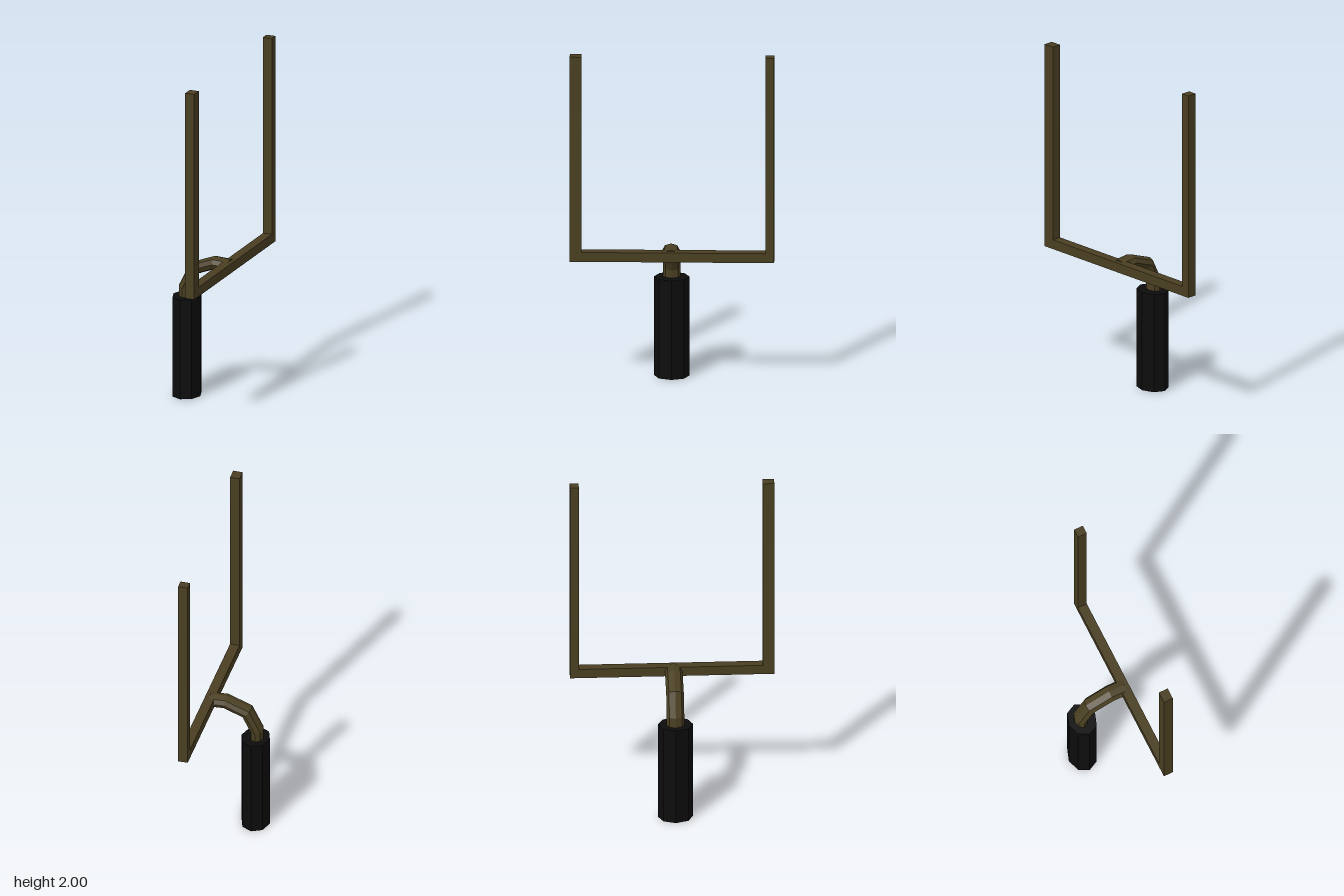
import * as THREE from 'three';

const paint = new THREE.MeshStandardMaterial({ color: 0x4a3f22, flatShading: true });
paint.name = 'dark gold paint';
const padding = new THREE.MeshStandardMaterial({ color: 0x0c0c0c, flatShading: true });
padding.name = 'black padding';

// Box given by its minimum and maximum corners
function bar(name, [x0, y0, z0], [x1, y1, z1]) {
  const geo = new THREE.BoxGeometry(x1 - x0, y1 - y0, z1 - z0);
  geo.translate((x0 + x1) / 2, (y0 + y1) / 2, (z0 + z1) / 2);
  const mesh = new THREE.Mesh(geo, paint);
  mesh.name = name;
  return mesh;
}

// Eight-sided oval pipe with mitred bends, following a path in the xy plane
function pipeGeometry(path, halfHeight, halfWidth, z, sides = 8) {
  const pts = path.map(([x, y]) => new THREE.Vector2(x, y));
  const last = pts.length - 1;
  const dir = (i) => pts[i + 1].clone().sub(pts[i]).normalize();
  const positions = [];
  const index = [];
  pts.forEach((p, i) => {
    const before = dir(Math.max(i - 1, 0));
    const after = dir(Math.min(i, last - 1));
    const t = before.clone().add(after).normalize();
    const h = halfHeight / t.dot(after);
    for (let j = 0; j < sides; j++) {
      const a = (j / sides) * Math.PI * 2;
      const c = Math.cos(a) * h;
      positions.push(p.x - t.y * c, p.y + t.x * c, z + Math.sin(a) * halfWidth);
    }
  });
  for (let i = 0; i < last; i++) {
    for (let j = 0; j < sides; j++) {
      const a = i * sides + j;
      const b = i * sides + ((j + 1) % sides);
      index.push(a, b, b + sides, a, b + sides, a + sides);
    }
  }
  // End caps
  const e = last * sides;
  for (let j = 1; j < sides - 1; j++) {
    index.push(0, j + 1, j, e, e + j, e + j + 1);
  }
  const geo = new THREE.BufferGeometry();
  geo.setAttribute('position', new THREE.Float32BufferAttribute(positions, 3));
  geo.setIndex(index);
  const flat = geo.toNonIndexed();
  flat.computeVertexNormals();
  return flat;
}

export function createModel() {
  const group = new THREE.Group();
  group.name = 'goalPost';

  // Padded octagonal base
  const base = new THREE.Mesh(new THREE.CylinderGeometry(1, 1, 0.592, 8), padding);
  base.name = 'paddedBase';
  base.scale.set(0.083, 1, 0.1);
  base.position.set(-0.106, 0.296, 0.007);
  group.add(base);

  // Curved neck from the base to the crossbar
  const path = [[-0.115, 0.57], [-0.115, 0.645], [-0.057, 0.762], [0.07, 0.81], [0.16, 0.804]];
  const neck = new THREE.Mesh(pipeGeometry(path, 0.037, 0.05, 0.007), paint);
  neck.name = 'curvedNeck';
  group.add(neck);

  // Crossbar and the two uprights
  group.add(
    bar('crossbar', [0.131, 0.775, -0.53], [0.187, 0.831, 0.514]),
    bar('frontUpright', [0.131, 0.775, 0.514], [0.187, 2, 0.58]),
    bar('backUpright', [0.131, 0.775, -0.58], [0.187, 2, -0.53])
  );
  return group;
}
